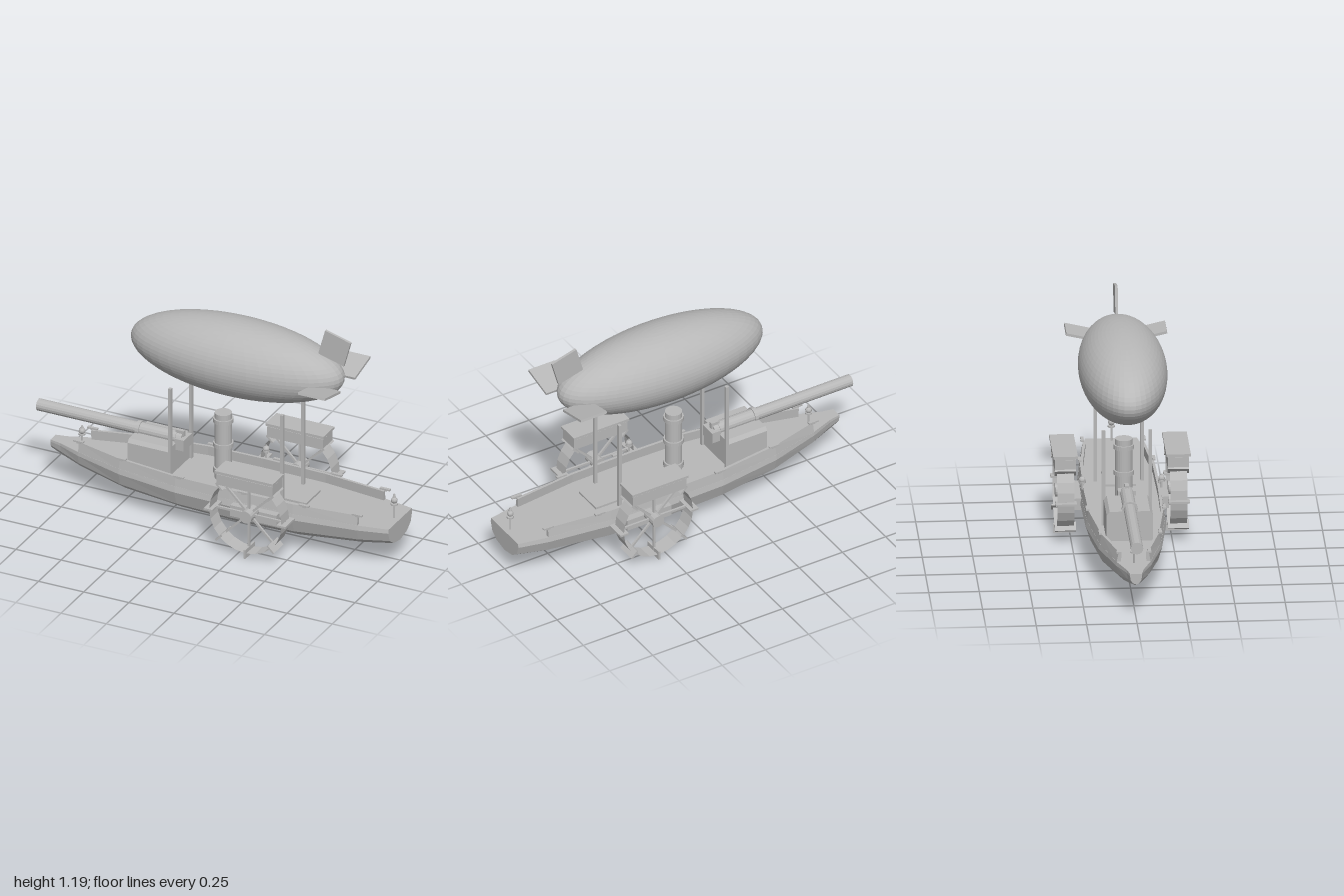
import * as THREE from 'three';

const grey = new THREE.MeshStandardMaterial({ color: 0xb8b8b8, flatShading: true });
grey.name = 'plain grey';
const greyThin = new THREE.MeshStandardMaterial({ color: 0xb8b8b8, flatShading: true, side: THREE.DoubleSide });
greyThin.name = 'plain grey sheet';

// Hull stations: x, half width, bottom y
const STATIONS = [
  [-0.92, 0.03, 0.18], [-0.86, 0.042, 0.155], [-0.74, 0.088, 0.124], [-0.48, 0.157, 0.08],
  [-0.15, 0.2, 0.06], [0.15, 0.205, 0.052], [0.5, 0.2, 0.06], [0.84, 0.163, 0.093], [1.0, 0.132, 0.12],
];
const DECK = 0.235;

function halfWidth(x) {
  for (let i = 1; i < STATIONS.length; i++) {
    const [x0, w0] = STATIONS[i - 1], [x1, w1] = STATIONS[i];
    if (x <= x1) return w0 + (w1 - w0) * (x - x0) / (x1 - x0);
  }
  return STATIONS.at(-1)[1];
}

// Skin closed rings (counterclockwise seen from +x) and cap both ends
function loft(rings) {
  const pos = [];
  const tri = (...pts) => pts.forEach((p) => pos.push(...p));
  const n = rings[0].length;
  for (let i = 0; i + 1 < rings.length; i++) {
    for (let j = 0; j < n; j++) {
      const k = (j + 1) % n, [p, q] = [rings[i], rings[i + 1]];
      tri(p[j], p[k], q[k]);
      tri(p[j], q[k], q[j]);
    }
  }
  const first = rings[0], last = rings.at(-1);
  for (let j = 1; j + 1 < n; j++) {
    tri(first[0], first[j + 1], first[j]);
    tri(last[0], last[j], last[j + 1]);
  }
  const g = new THREE.BufferGeometry();
  g.setAttribute('position', new THREE.Float32BufferAttribute(pos, 3));
  g.computeVertexNormals();
  return g;
}

function add(parent, name, geometry, x = 0, y = 0, z = 0, material = grey) {
  const m = new THREE.Mesh(geometry, material);
  m.name = name;
  m.position.set(x, y, z);
  parent.add(m);
  return m;
}
const box = (p, name, w, h, d, x, y, z) => add(p, name, new THREE.BoxGeometry(w, h, d), x, y, z);
const cyl = (p, name, r, h, x, y, z, sides = 20, rTop = r) =>
  add(p, name, new THREE.CylinderGeometry(rTop, r, h, sides), x, y, z);

function makeHull(model) {
  const rings = STATIONS.map(([x, w, bottom]) => {
    const half = [[0.97, 0], [1, 0.18], [0.88, 0.6], [0.56, 0.87]]
      .map(([f, d]) => [x, DECK - (DECK - bottom) * d, w * f]);
    const other = half.map(([a, y, z]) => [a, y, -z]).reverse();
    return [...half, [x, bottom, 0], ...other];
  });
  add(model, 'hull', loft(rings));

  // Raised bulwarks along both deck edges
  for (const s of [1, -1]) {
    const walls = STATIONS.slice(2, 8).map(([x, w]) => {
      const ring = [[x, 0.23, s * w * 0.97], [x, 0.23, s * (w - 0.025)],
        [x, 0.286, s * (w - 0.028)], [x, 0.286, s * (w - 0.014)]];
      return s > 0 ? ring : ring.reverse();
    });
    add(model, 'bulwark', loft(walls));
    for (const x of [-0.74, -0.47, -0.13, 0.23, 0.56, 0.84]) {
      const cleat = new THREE.Group();
      cleat.name = 'cleat';
      cleat.position.set(x, 0.286, s * (halfWidth(x) - 0.01));
      box(cleat, 'cleatBar', 0.056, 0.008, 0.016, 0, 0.006, 0);
      box(cleat, 'cleatFoot', 0.02, 0.01, 0.01, 0, 0, 0);
      model.add(cleat);
    }
  }
  box(model, 'deckHatch', 0.2, 0.012, 0.16, 0.42, DECK + 0.005, 0);
}

function makeLamp(model, x, y, z, h) {
  const lamp = new THREE.Group();
  lamp.name = 'lamp';
  lamp.position.set(x, y, z);
  cyl(lamp, 'lampPost', 0.005, h, 0, h / 2, 0, 8);
  cyl(lamp, 'lampTray', 0.018, 0.008, 0, h * 0.6, 0, 10);
  add(lamp, 'lampGlobe', new THREE.SphereGeometry(0.017, 10, 8), 0, h * 0.76, 0);
  cyl(lamp, 'lampCap', 0.009, 0.02, 0, h * 0.95, 0, 8, 0.004);
  model.add(lamp);
}

function makeGun(model) {
  // Gun house with chamfered top edges
  const s = new THREE.Shape([[-0.115, 0.23], [0.115, 0.23], [0.115, 0.37], [0.1, 0.39], [-0.1, 0.39], [-0.115, 0.37]]
    .map(([a, b]) => new THREE.Vector2(a, b)));
  const house = add(model, 'gunHouse', new THREE.ExtrudeGeometry(s, { depth: 0.23, bevelEnabled: false }), -0.45);
  house.rotation.y = Math.PI / 2;
  const rod = (name, r, x0, x1, y = 0.4) => {
    cyl(model, name, r, x1 - x0, (x0 + x1) / 2, y, 0, 16).rotation.z = Math.PI / 2;
  };
  rod('gunBarrel', 0.031, -1, -0.2);
  rod('gunCollar', 0.04, -0.45, -0.43);
  rod('gunSleeve', 0.034, -0.43, -0.23);
  box(model, 'breech', 0.05, 0.06, 0.09, -0.2, 0.383, 0);
  box(model, 'breechBlock', 0.045, 0.11, 0.02, -0.215, 0.39, 0);
}

function makeChimney(model) {
  cyl(model, 'chimney', 0.043, 0.365, 0.022, 0.418, 0, 24);
  for (const [y, h] of [[0.284, 0.03], [0.425, 0.022], [0.56, 0.022]]) {
    cyl(model, 'chimneyBand', 0.051, h, 0.022, y, 0, 24);
  }
}

function makePaddleWheel(model, side) {
  const wheel = new THREE.Group();
  wheel.name = 'paddleWheel';
  wheel.position.set(0.305, 0.23, side * 0.28);
  const hoop = new THREE.CylinderGeometry(0.2, 0.2, 0.085, 24, 1, true);
  add(wheel, 'wheelRim', hoop, 0, 0, 0, greyThin).rotation.x = Math.PI / 2;
  cyl(wheel, 'wheelHub', 0.033, 0.085, 0, 0, 0, 16).rotation.x = Math.PI / 2;
  for (let i = 0; i < 8; i++) {
    const arm = new THREE.Group();
    arm.name = 'wheelArm';
    arm.rotation.z = i * Math.PI / 4;
    box(arm, 'spoke', 0.19, 0.011, 0.011, 0.105, 0, 0);
    box(arm, 'paddle', 0.048, 0.01, 0.105, 0.202, 0, 0);
    wheel.add(arm);
  }
  model.add(wheel);

  // Axle support and open-bottomed wheel cover
  box(model, 'wheelSupport', 0.255, 0.06, 0.09, 0.305, 0.198, side * 0.19);
  const cover = new THREE.Group();
  cover.name = 'wheelCover';
  cover.position.set(0.305, 0, side * 0.28);
  box(cover, 'coverLid', 0.322, 0.013, 0.122, 0, 0.456, 0);
  box(cover, 'coverRoof', 0.305, 0.012, 0.1, 0, 0.445, 0);
  for (const s of [1, -1]) {
    box(cover, 'coverSide', 0.31, 0.058, 0.01, 0, 0.413, s * 0.048);
    box(cover, 'coverEnd', 0.01, 0.058, 0.096, s * 0.15, 0.413, 0);
  }
  model.add(cover);
}

function makeBalloon(model) {
  const envelope = new THREE.SphereGeometry(1, 48, 32);
  envelope.scale(0.582, 0.198, 0.219);
  add(model, 'balloon', envelope, 0.102, 0.934, 0);
  box(model, 'topFin', 0.146, 0.142, 0.014, 0.639, 1.107, 0).rotation.z = -0.27;
  for (const s of [1, -1]) {
    box(model, 'sideFin', 0.15, 0.013, 0.175, 0.635, 0.933, s * 0.165).rotation.x = -s * 0.23;
  }
}

export function createModel() {
  const model = new THREE.Group();
  model.name = 'airshipGunboat';
  makeHull(model);
  makeGun(model);
  makeChimney(model);
  makeBalloon(model);
  for (const s of [1, -1]) {
    makePaddleWheel(model, s);
    makeLamp(model, 0.16, 0.285, s * 0.197, 0.065);
    for (const x of [-0.215, 0.405]) box(model, 'mast', 0.016, 0.5, 0.018, x, 0.482, s * 0.116);
  }
  makeLamp(model, -0.76, 0.23, 0, 0.105);
  makeLamp(model, 0.967, 0.23, 0, 0.135);
  return model;
}
